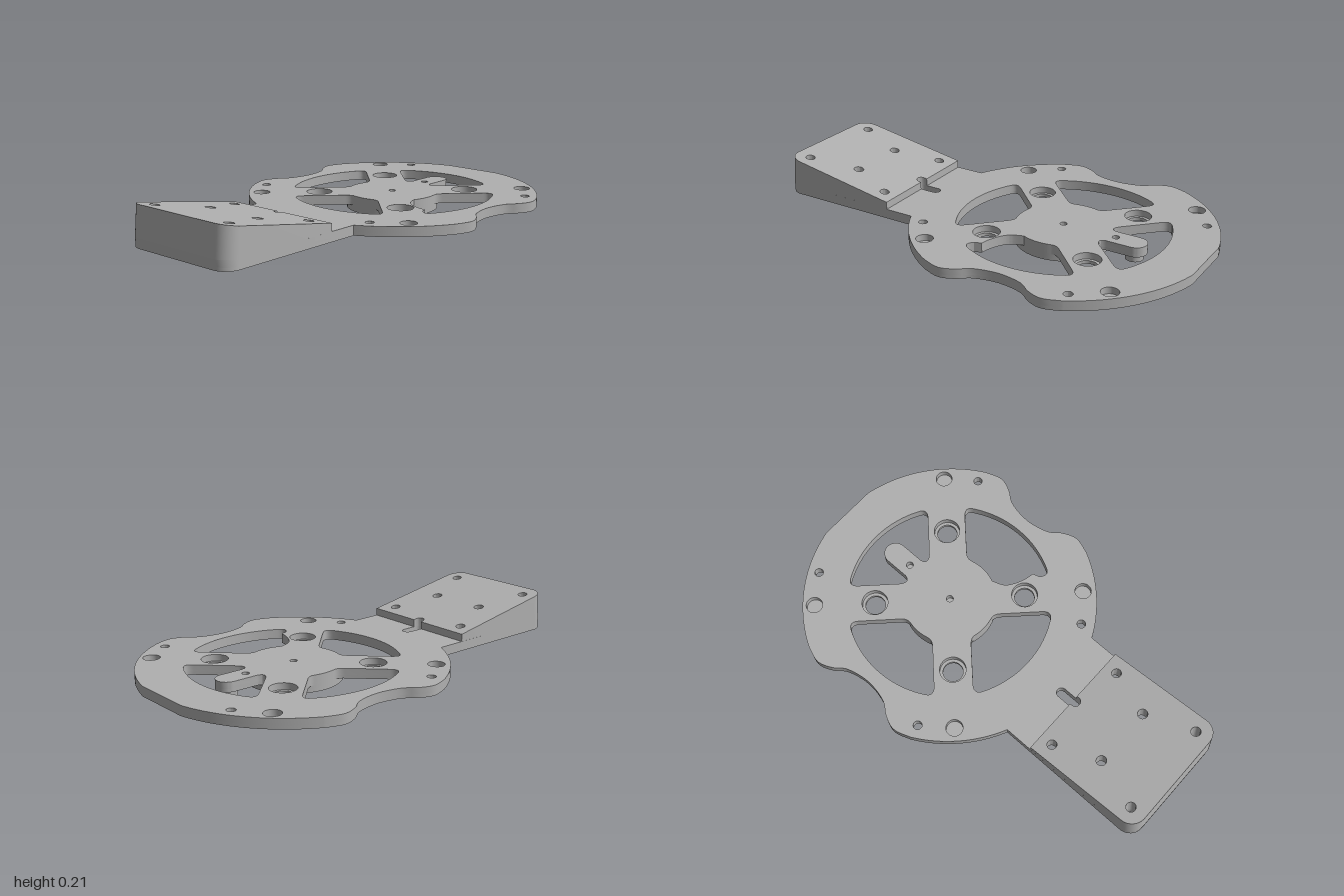
import * as THREE from 'three';
import { toCreasedNormals } from 'three/addons/utils/BufferGeometryUtils.js';

const V = (x, z) => new THREE.Vector2(x, z);
const HUB_Z = -0.335, HUB_R = 0.215, WINDOW_R = 0.475, SPOKE = 0.088;

// All plan shapes are drawn as (x, z) points.
function arc(cx, cz, r, a, b, n = 24) {
  return Array.from({ length: n + 1 }, (_, i) => {
    const t = a + ((b - a) * i) / n;
    return V(cx + r * Math.cos(t), cz + r * Math.sin(t));
  });
}
const bend = (p, c, q) => new THREE.QuadraticBezierCurve(p, c, q).getPoints(6);
const spline = (pts) => new THREE.SplineCurve(pts).getPoints(30);
const circle = (x, z, r) => arc(x, z, r, 0, Math.PI * 2, 32).slice(0, -1);
const slot = (x, z0, z1, r) => [
  ...arc(x, z1 - r, r, 0, Math.PI, 12),
  ...arc(x, z0 + r, r, Math.PI, Math.PI * 2, 12),
];
const mirrorX = (pts) => [...pts, ...pts.slice(1, -1).reverse().map((p) => V(-p.x, p.y))];

// Upright slab with holes, from y0 to y1
function slab(outline, holes, y0, y1) {
  const shape = new THREE.Shape(outline);
  shape.holes = holes.map((h) => new THREE.Path(h));
  return new THREE.ExtrudeGeometry(shape, { depth: y1 - y0, bevelEnabled: false })
    .rotateX(Math.PI / 2)
    .translate(0, y1, 0);
}

// Disc with a flat back, scalloped sides and a straight handle
function plateOutline() {
  const scallop = [[0.6, -0.655], [0.625, -0.575], [0.602, -0.505], [0.56, -0.445], [0.54, -0.335],
    [0.56, -0.225], [0.602, -0.165], [0.625, -0.095], [0.6, -0.015]].map(([x, z]) => V(x, z));
  return mirrorX([
    V(0, -1),
    ...arc(0, HUB_Z, 0.68, -1.362, -0.5),
    ...spline(scallop),
    ...arc(0, HUB_Z, 0.68, 0.5, 1.13),
    ...arc(0.22, 0.93, 0.07, 0, Math.PI / 2, 10),
    V(0, 1),
  ]);
}

// One side of a window between spokes, relative to the hub, opening along +x
function windowSide(kind) {
  const a1 = Math.PI / 4 - Math.asin(SPOKE / WINDOW_R);
  const a0 = Math.PI / 4 - Math.asin(SPOKE / HUB_R);
  const onArc = (r, a) => V(r * Math.cos(a), r * Math.sin(a));
  const onSpoke = (x) => V(x, x - SPOKE * Math.SQRT2);
  const pts = [
    ...arc(0, 0, WINDOW_R, 0, a1 - 0.08).slice(0, -1),
    ...bend(onArc(WINDOW_R, a1 - 0.08), onArc(WINDOW_R, a1), onSpoke(0.36)),
  ];
  if (kind === 'tab') {
    pts.push(
      ...bend(onSpoke(0.225), V(0.19, 0.06), V(0.235, 0.052)),
      ...arc(0.348, 0, 0.052, Math.PI / 2, 0, 12),
    );
  } else if (kind === 'notch') {
    pts.push(
      ...spline([V(0.35, 0.203), V(0.31, 0.195), V(0.255, 0.171), V(0.218, 0.139), V(0.197, 0.086)]),
      ...arc(0, 0, HUB_R, a0 - 0.02, 0, 12).slice(1),
    );
  } else {
    pts.push(
      ...bend(onSpoke(0.225), onArc(HUB_R, a0), onArc(HUB_R, a0 - 0.12)),
      ...arc(0, 0, HUB_R, a0 - 0.12, 0, 12).slice(1),
    );
  }
  return pts;
}

function windowHole(quarter, kindA, kindB = kindA) {
  const other = windowSide(kindB).slice(1, -1).reverse().map((p) => V(p.x, -p.y));
  return [...windowSide(kindA), ...other].map((p) =>
    p.rotateAround(V(0, 0), (quarter * Math.PI) / 2).add(V(0, HUB_Z)));
}

export function createModel() {
  const group = new THREE.Group();
  const grey = new THREE.MeshStandardMaterial({ color: 0xb0b0b0 });
  grey.name = 'grey';
  const add = (name, geometry) => {
    const mesh = new THREE.Mesh(toCreasedNormals(geometry, 0.5), grey);
    mesh.name = name;
    group.add(mesh);
    return mesh;
  };

  const corners = (x, zs, r) => [-x, x].flatMap((sx) => zs.map((z) => circle(sx, z, r)));
  const spokeHoles = (r) => corners(0.245, [-0.58, -0.09], r);
  const handleHoles = corners(0.22, [0.48, 0.925], 0.022);

  // Openings that pass through the whole plate
  const through = [
    windowHole(0, 'notch', 'plain'),
    windowHole(1, 'plain'),
    windowHole(2, 'plain'),
    windowHole(3, 'tab'),
    ...[[-0.31, -0.88], [0.54, -0.65], [-0.54, -0.03], [0.31, 0.2]].map(([x, z]) => circle(x, z, 0.02)),
    ...handleHoles,
    slot(0, 0.325, 0.45, 0.023),
    ...[-0.14, 0.14].map((x) => slot(x, 0.59, 0.8, 0.045)),
  ];

  // Plate in two layers, so the upper one carries counterbores and blind recesses
  const outline = plateOutline();
  add('plateLower', slab(outline, [...through, ...spokeHoles(0.046)], 0.03, 0.045));
  add('plateUpper', slab(outline, [
    ...through,
    ...spokeHoles(0.06),
    ...corners(0.44, [-0.78, 0.1], 0.038),
    circle(0, -0.59, 0.016),
    circle(0, HUB_Z, 0.016),
  ], 0.045, 0.075));

  // Sloped block on the handle, notched at the back by the slot
  const wedgeOutline = mirrorX([
    V(0, 0.45),
    ...arc(0, 0.427, 0.023, Math.PI / 2, 0, 8).slice(1),
    V(0.023, 0.415),
    V(0.29, 0.415),
    ...arc(0.22, 0.93, 0.07, 0, Math.PI / 2, 10),
    V(0, 1),
  ]);
  const wedge = slab(wedgeOutline, [...handleHoles, ...corners(0.14, [0.695], 0.023)], 0.075, 0.11);
  const pos = wedge.attributes.position;
  for (let i = 0; i < pos.count; i++) {
    if (pos.getY(i) < 0.09) continue;
    const t = (pos.getZ(i) - 0.415) / 0.585;
    pos.setY(i, 0.11 + 0.1 * t);
    pos.setZ(i, 0.415 + 0.572 * t);
  }
  wedge.computeVertexNormals();
  add('handleWedge', wedge);

  // Hub disc and small boss beneath the plate
  add('hubDisc', new THREE.CylinderGeometry(HUB_R, HUB_R, 0.03, 64))
    .position.set(0, 0.015, HUB_Z);
  add('tabBoss', new THREE.CylinderGeometry(0.04, 0.04, 0.03, 32))
    .position.set(0, 0.015, -0.68);

  return group;
}
